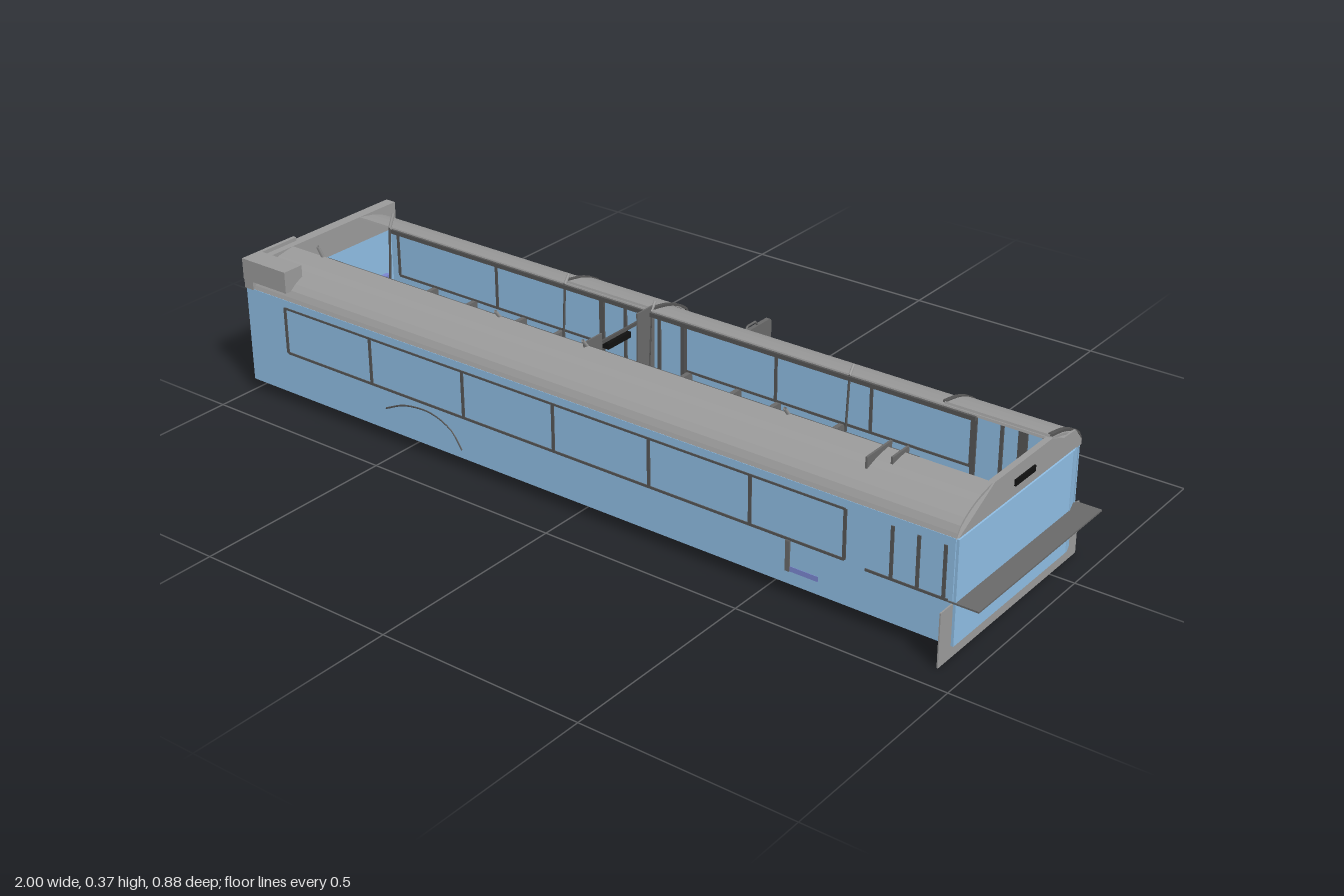
import * as THREE from 'three';

const mat = (name, color, double) => {
  const m = new THREE.MeshStandardMaterial({ color });
  m.name = name;
  if (double) m.side = THREE.DoubleSide;
  return m;
};

export function createModel() {
  const bus = new THREE.Group();
  bus.name = 'openRoofBus';
  const blue = mat('bodyBlue', 0x8fbde3, true);
  const gray = mat('roofGray', 0x9a9a9a, true);
  const dark = mat('floorGray', 0x696969, true);
  const frame = mat('frameGray', 0x555555);
  const black = mat('signBlack', 0x111111);
  const purple = mat('seatPurple', 0xad78cf);
  const red = mat('seatRed', 0xcf6a6a);
  const indigo = mat('benchBlue', 0x7a86d0);

  const add = (name, geo, m, parent = bus) => {
    const mesh = new THREE.Mesh(geo, m);
    mesh.name = name;
    parent.add(mesh);
    return mesh;
  };
  // box given by its limits on each axis
  const box = (name, x0, x1, y0, y1, z0, z1, m, parent) => {
    const g = new THREE.BoxGeometry(x1 - x0, y1 - y0, z1 - z0);
    g.translate((x0 + x1) / 2, (y0 + y1) / 2, (z0 + z1) / 2);
    return add(name, g, m, parent);
  };
  // (z, y) outline extruded from x0 to x1
  const alongX = (name, pts, x0, x1, m, parent) => {
    const s = new THREE.Shape(pts.map(p => new THREE.Vector2(p[0], p[1])));
    const g = new THREE.ExtrudeGeometry(s, { depth: x1 - x0, bevelEnabled: false });
    g.rotateY(-Math.PI / 2).translate(x1, 0, 0);
    return add(name, g, m, parent);
  };
  const mirrorZ = z => 0.305 - z;
  const rod = (name, a, b, r, m, parent) => add(name, new THREE.TubeGeometry(
    new THREE.LineCurve3(new THREE.Vector3(...a), new THREE.Vector3(...b)), 1, r, 6), m, parent);

  // floor and body walls
  box('floor', -0.995, 0.94, 0.03, 0.036, -0.09, 0.395, dark);
  box('leftWall', -0.995, 0.94, 0.03, 0.27, 0.393, 0.397, blue);
  box('rightWall', -0.995, 0.94, 0.03, 0.27, -0.092, -0.088, blue);
  box('rearWall', -0.998, -0.994, 0.03, 0.27, -0.09, 0.395, blue);
  box('frontWall', 0.942, 0.948, 0.03, 0.27, -0.05, 0.397, blue);
  const corner = box('frontCorner', -0.003, 0.003, 0.03, 0.27, -0.021, 0.021, blue);
  corner.position.set(0.94, 0, -0.071);
  corner.rotation.y = 0.3;

  // curved roof sides around the open middle
  const curve = new THREE.SplineCurve([[0.265, 0.335], [0.31, 0.327], [0.35, 0.313],
    [0.383, 0.292], [0.397, 0.268]].map(p => new THREE.Vector2(...p))).getPoints(8);
  const outer = curve.map(p => [p.x, p.y]);
  const inner = curve.map(p => [p.x - 0.002, p.y - 0.005]).reverse();
  const roof = [...outer, ...inner];
  alongX('leftRoof', roof, -0.97, 0.94, gray);
  alongX('rightRoof', roof.map(([z, y]) => [mirrorZ(z), y]), -0.97, 0.94, gray);
  for (const z of [0.262, 0.043])
    box('roofEdgeRail', -0.86, 0.77, 0.322, 0.332, z - 0.004, z + 0.004, frame);

  // front and rear headboards, corner box
  const head = [[0.397, 0.268], [0.265, 0.336], [0.04, 0.336], [-0.01, 0.316],
    [-0.06, 0.314], [-0.09, 0.28], [-0.09, 0.268]];
  alongX('frontHeadboard', head, 0.93, 0.944, gray);
  box('rearHeadboard', -1, -0.972, 0.268, 0.334, -0.085, 0.398, gray);
  box('rearCornerBox', -1, -0.86, 0.29, 0.343, 0.345, 0.4, gray);
  box('rearHeadboardCap', -1, -0.99, 0.33, 0.343, 0.235, 0.4, gray);
  box('frontSign', 0.926, 0.948, 0.293, 0.307, 0.108, 0.187, black);
  box('middleSign', -0.092, -0.074, 0.293, 0.307, 0.108, 0.187, black);

  // front shelf and apron plates
  box('frontShelf', 0.93, 1, 0.126, 0.13, -0.097, 0.398, dark);
  box('frontApron', 0.938, 0.941, 0, 0.125, -0.11, 0.44, gray);

  // window frames, seen inside and outside
  const strip = (x0, x1, y0, y1, z) => box('windowFrame', x0, x1, y0, y1, z - 0.004, z + 0.004, frame);
  const posts = [-0.87, -0.6, -0.32, -0.06, 0.2, 0.46, 0.69];
  for (const x of posts) strip(x - 0.004, x + 0.004, 0.135, 0.25, 0.395);
  strip(-0.87, 0.69, 0.132, 0.138, 0.395);
  strip(-0.87, 0.69, 0.247, 0.252, 0.395);
  for (const [x0, x1] of [[-0.97, -0.32], [-0.07, 0.69]]) {
    strip(x0, x1, 0.132, 0.138, -0.09);
    strip(x0, x1, 0.247, 0.252, -0.09);
    const n = Math.round((x1 - x0) / 0.26);
    for (let i = 0; i <= n; i++) {
      const x = x0 + (x1 - x0) * i / n;
      strip(x - 0.004, x + 0.004, 0.135, 0.25, -0.09);
    }
  }
  // driver window
  for (const x of [0.8, 0.86, 0.92]) strip(x - 0.004, x + 0.004, 0.13, 0.25, 0.395);
  strip(0.74, 0.93, 0.127, 0.133, 0.395);
  // rear panel seams
  box('rearSeam', -1, -0.997, 0.13, 0.134, -0.07, 0.37, frame);
  for (const z of [-0.07, 0.37]) box('rearSeam', -1, -0.997, 0.13, 0.23, z - 0.002, z + 0.002, frame);
  // wheel arch line
  const arch = [[-0.56, 0.085], [-0.5, 0.11], [-0.42, 0.115], [-0.36, 0.09], [-0.33, 0.05]];
  add('wheelArch', new THREE.TubeGeometry(new THREE.CatmullRomCurve3(
    arch.map(p => new THREE.Vector3(p[0], p[1], 0.397))), 16, 0.0022, 5), frame);

  // double doors with curved hoods
  for (const [x0, x1] of [[-0.32, -0.07], [0.69, 0.935]]) {
    const door = new THREE.Group();
    door.name = 'door';
    bus.add(door);
    const mid = (x0 + x1) / 2;
    for (const [x, w] of [[x0 + 0.006, 0.006], [mid - 0.05, 0.004], [mid, 0.011], [mid + 0.05, 0.004], [x1 - 0.006, 0.006]])
      box('doorPost', x - w, x + w, 0.03, 0.272, -0.098, -0.084, frame, door);
    for (const y of [0.033, 0.265])
      box('doorRail', x0, x1, y - 0.005, y + 0.005, -0.098, -0.084, frame, door);
    alongX('doorHood', roof.map(([z, y]) => [mirrorZ(z) - 0.006, y + 0.004]), x0, x1, gray, door);
    for (const x of [x0, x1])
      alongX('hoodRib', roof.map(([z, y]) => [mirrorZ(z) - 0.008, y + 0.006]), x - 0.005, x + 0.005, frame, door);
    box('doorHandle', mid - 0.003, mid + 0.003, 0.145, 0.16, -0.104, -0.097, frame, door);
  }

  // leaning poles with brackets above the opening
  for (const x of [-0.87, -0.32, -0.07, 0.46]) {
    const top = x < -0.8 ? 0.365 : 0.352;
    for (const f of [z => z, mirrorZ]) {
      rod('pole', [x, 0.036, f(0.245)], [x, 0.335, f(0.265)], 0.003, frame);
      rod('roofBracket', [x, 0.332, f(0.265)], [x, top, f(0.28)], 0.004, gray);
    }
  }
  // cross portal holding the middle sign
  box('portalBeam', -0.085, -0.08, 0.31, 0.318, 0.04, 0.265, frame);
  for (const z of [0.06, 0.245])
    box('doorScreen', -0.073, -0.069, 0.1, 0.345, z - 0.03, z + 0.03, dark);
  // driver cabin partitions and dashboard
  box('cabinScreen', 0.695, 0.7, 0.036, 0.343, 0.25, 0.34, dark);
  box('cabinScreen', 0.735, 0.74, 0.036, 0.343, 0.25, 0.31, dark);
  const dash = new THREE.Shape();
  dash.moveTo(0.71, -0.26);
  dash.bezierCurveTo(0.78, -0.18, 0.82, -0.19, 0.93, -0.185);
  dash.lineTo(0.93, -0.21);
  dash.bezierCurveTo(0.84, -0.21, 0.82, -0.22, 0.78, -0.26);
  const dashGeo = new THREE.ExtrudeGeometry(dash, { depth: 0.08, bevelEnabled: false });
  add('dashboard', dashGeo.rotateX(-Math.PI / 2).translate(0, 0.036, 0), gray);
  // raised rear floor
  box('rearPlatform', -0.79, -0.74, 0.036, 0.04, 0.1, 0.26, dark);

  // two-place seat, facing +x before turning
  const seat = (x, z, m, turn = 0) => {
    const g = new THREE.Group();
    g.name = 'seat';
    g.position.set(x, 0, z);
    g.rotation.y = turn;
    box('seatCushion', -0.03, 0.04, 0.06, 0.072, -0.073, 0.073, m, g);
    const s = new THREE.Shape();
    s.moveTo(-0.075, 0.06);
    s.lineTo(0.075, 0.06);
    s.lineTo(0.075, 0.128);
    s.quadraticCurveTo(0.075, 0.138, 0.065, 0.138);
    s.lineTo(-0.065, 0.138);
    s.quadraticCurveTo(-0.075, 0.138, -0.075, 0.128);
    const back = new THREE.ExtrudeGeometry(s, { depth: 0.011, bevelEnabled: false });
    add('seatBack', back.rotateY(-Math.PI / 2).translate(-0.029, 0, 0), dark, g);
    const grip = [[-0.025, 0.136], [-0.016, 0.148], [0.016, 0.148], [0.025, 0.136]];
    for (let i = 0; i < 3; i++)
      rod('seatGrip', [-0.034, grip[i][1], grip[i][0]], [-0.034, grip[i + 1][1], grip[i + 1][0]], 0.003, dark, g);
    bus.add(g);
  };
  for (const x of [-0.81, -0.68, -0.52, -0.4, 0.23, 0.4]) seat(x, -0.01, purple);
  for (const x of [-0.02, 0.12]) seat(x, -0.01, red);
  for (const x of [-0.81, -0.52, -0.4, -0.02, 0.4]) seat(x, 0.315, purple);
  seat(-0.12, 0.315, red, Math.PI);
  seat(0.59, 0.325, indigo);
  // loose seat beside the bus
  seat(-0.115, -0.363, red, Math.PI);

  // rear bench
  for (let i = 0; i < 5; i++) {
    const z = -0.04 + i * 0.075;
    box('benchCushion', -0.955, -0.875, 0.08, 0.095, z + 0.002, z + 0.073, indigo);
    box('benchBack', -0.968, -0.955, 0.08, 0.16, z + 0.002, z + 0.073, indigo);
  }
  box('benchBase', -0.97, -0.88, 0.036, 0.08, -0.04, 0.335, dark);

  return bus;
}
